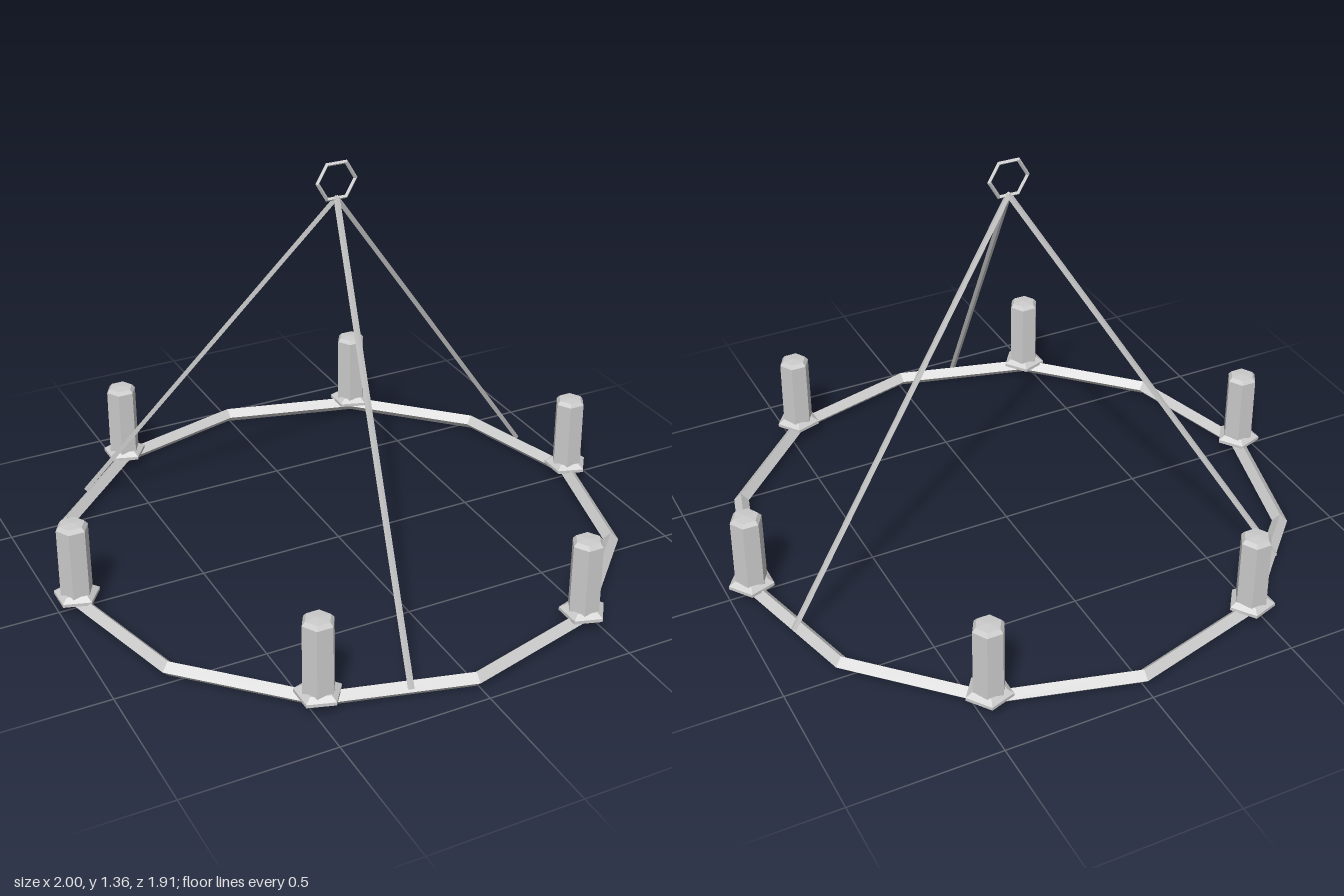
import * as THREE from 'three';

const material = new THREE.MeshStandardMaterial({ color: 0xcccccc, flatShading: true });

function part(name, geometry) {
  const mesh = new THREE.Mesh(geometry, material);
  mesh.name = name;
  return mesh;
}

// Faceted turned shape with its first corner on +x
function turned(profile, sides) {
  const points = profile.map(([r, y]) => new THREE.Vector2(r, y));
  return new THREE.LatheGeometry(points, sides, Math.PI / 2);
}

// Straight rod between two points
function rod(name, from, to, radius) {
  const dir = to.clone().sub(from);
  const mesh = part(name, new THREE.CylinderGeometry(radius, radius, dir.length(), 4));
  mesh.position.copy(from).addScaledVector(dir, 0.5);
  mesh.quaternion.setFromUnitVectors(new THREE.Vector3(0, 1, 0), dir.normalize());
  return mesh;
}

export function createModel() {
  const model = new THREE.Group();
  model.name = 'chandelier';
  const ringRadius = 0.929;

  // Twelve-sided hoop with a diamond section
  const hoop = part('hoop', new THREE.TorusGeometry(ringRadius, 0.026, 4, 12).rotateX(Math.PI / 2));
  hoop.position.y = 0.026;
  model.add(hoop);

  // Six candles in pentagonal cups, all turned the same way
  const cupShape = turned([[0, 0.025], [0.035, 0.03], [0.077, 0.045], [0.077, 0.056], [0.055, 0.07], [0, 0.07]], 5);
  const candleShape = turned([[0, 0.06], [0.054, 0.06], [0.053, 0.302], [0.042, 0.315], [0, 0.318]], 6);
  for (let i = 0; i < 6; i++) {
    const angle = (i * Math.PI) / 3;
    const holder = new THREE.Group();
    holder.name = 'candleHolder';
    holder.position.set(ringRadius * Math.cos(angle), 0, ringRadius * Math.sin(angle));
    holder.add(part('cup', cupShape), part('candle', candleShape));
    model.add(holder);
  }

  // Three suspension rods meeting under the hanging loop
  const apex = new THREE.Vector3(0, 1.243, 0);
  for (const [x, z] of [[-0.676, -0.628], [0.885, -0.268], [-0.206, 0.9]]) {
    model.add(rod('suspensionRod', apex, new THREE.Vector3(x, 0.038, z), 0.01));
  }

  // Hexagonal hanging loop
  const loop = part('hangingLoop', new THREE.TorusGeometry(0.066, 0.007, 4, 6));
  loop.position.y = 1.298;
  model.add(loop);

  // The cups' corners reach further on +x, so shift to centre
  model.position.x = -0.007;
  const root = new THREE.Group();
  root.add(model);
  return root;
}
